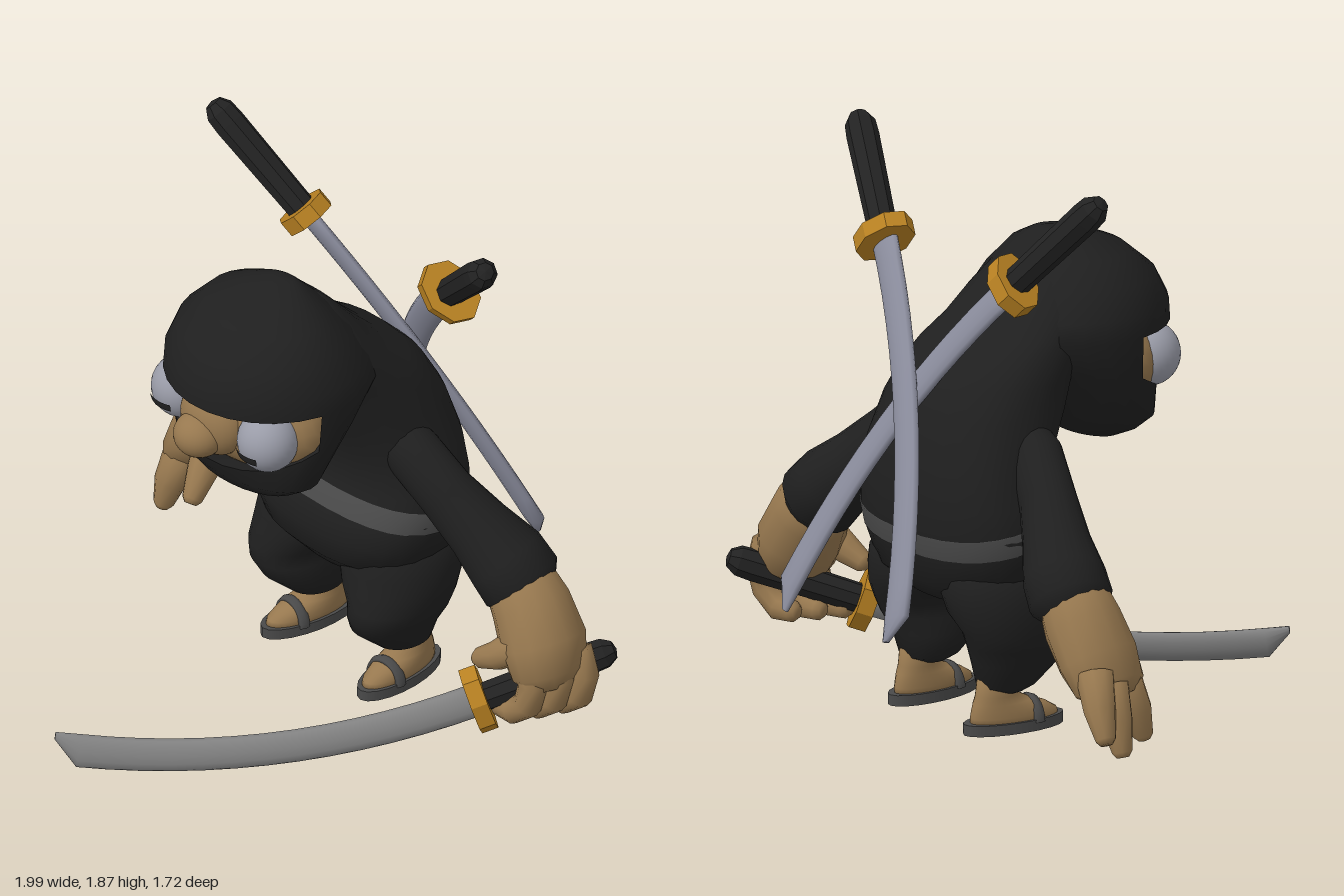
import * as THREE from 'three';

const mat = (color, extra = {}) => new THREE.MeshStandardMaterial({ color, ...extra });
const SUIT = mat(0x1f1f1f, { side: THREE.DoubleSide });
const SKIN = mat(0x97784f);
const BELT = mat(0x4a4a4a);
const EYE = mat(0x9a9ca8);
const GOLD = mat(0xb88122, { flatShading: true });
const GRIP = mat(0x222222, { flatShading: true });
const V = (x, y, z) => new THREE.Vector3(x, y, z);
const CENTRE = 0.025;

function add(parent, name, geo, material, pos = [0, 0, 0], scale = [1, 1, 1]) {
  const m = new THREE.Mesh(geo, material);
  m.name = name;
  m.position.set(...pos);
  m.scale.set(...scale);
  parent.add(m);
  return m;
}

// Skins a list of rings of points; skip(row, column) leaves holes
function loft(rings, { caps = true, skip = () => false } = {}) {
  const n = rings[0].length, pts = rings.flat(), idx = [];
  for (let k = 0; k < rings.length - 1; k++) {
    for (let i = 0; i < n; i++) {
      if (skip(k, i)) continue;
      const a = k * n + i, b = k * n + (i + 1) % n, c = a + n, d = b + n;
      idx.push(a, c, b, b, c, d);
    }
  }
  if (caps) {
    const mid = r => r.reduce((s, p) => s.add(p), V(0, 0, 0)).divideScalar(n);
    const last = (rings.length - 1) * n, c0 = pts.length;
    pts.push(mid(rings[0]), mid(rings[rings.length - 1]));
    for (let i = 0; i < n; i++) {
      const j = (i + 1) % n;
      idx.push(c0, i, j, c0 + 1, last + j, last + i);
    }
  }
  const g = new THREE.BufferGeometry().setFromPoints(pts);
  g.setIndex(idx);
  g.computeVertexNormals();
  return g;
}

// Level ring from [y, zBack, zFront, halfWidth]; e < 1 squares it off
const N = 28;
const pow = (v, e) => Math.sign(v) * Math.abs(v) ** e;
function row([y, zb, zf, hw], e = 1, x = 0, yAt = () => y) {
  return Array.from({ length: N }, (_, i) => {
    const a = i / N * Math.PI * 2, s = Math.sin(a);
    return V(x + hw * pow(Math.cos(a), e), yAt(s), (zb + zf) / 2 + (zf - zb) / 2 * pow(s, e));
  });
}

// Rounded limb through [x, y, z, thickness, depth] stations
function limb(stations, n = 14) {
  const p = stations.map(s => V(s[0], s[1], s[2]));
  const ring = (c, t, ra, rb) => {
    const a = V(0, 0, 1).cross(t).negate().normalize(), b = a.clone().cross(t);
    return Array.from({ length: n }, (_, i) => {
      const q = i / n * Math.PI * 2;
      return c.clone().addScaledVector(a, ra * Math.cos(q)).addScaledVector(b, rb * Math.sin(q));
    });
  };
  const tan = i => p[Math.min(i + 1, p.length - 1)].clone().sub(p[Math.max(i - 1, 0)]).normalize();
  const rings = stations.map((s, i) => ring(p[i], tan(i), s[3], s[4] ?? s[3]));
  const e = stations[stations.length - 1], t = tan(p.length - 1), r = e[3], d = e[4] ?? r;
  rings.push(ring(p[p.length - 1].clone().addScaledVector(t, Math.min(r, d) * 0.5), t, r * 0.6, d * 0.6));
  return loft(rings);
}

// Curved sword: guard at the origin, blade along +y, bulging to +x
function sword(name, guard, tip, bulge, bladeColor) {
  const g = new THREE.Group();
  g.name = name;
  const from = V(...guard), dir = V(...tip).sub(from), L = dir.length();
  const y = dir.normalize(), x = V(...bulge);
  x.addScaledVector(y, -x.dot(y)).normalize();
  const m = new THREE.Matrix4().makeBasis(x, y, x.clone().cross(y)).setPosition(from);
  m.decompose(g.position, g.quaternion, g.scale);
  const rings = [];
  for (let i = 0; i <= 14; i++) {
    const t = i < 14 ? i / 13 * 0.95 : 1, end = i === 14;
    const slope = 0.25 * (1 - 2 * t), w = end ? 0.012 : 0.054, th = end ? 0.01 : 0.024;
    const cx = 0.25 * L * t * (1 - t) - (end ? 0.042 : 0);
    rings.push(Array.from({ length: 12 }, (_, j) => {
      const u = Math.cos(j * Math.PI / 6), v = Math.sin(j * Math.PI / 6);
      return V(cx + u * w, L * t - u * w * slope, v * th);
    }));
  }
  add(g, 'blade', loft(rings), mat(bladeColor));
  const hilt = new THREE.Group();
  hilt.name = 'hilt';
  hilt.rotation.z = -0.245;
  g.add(hilt);
  add(hilt, 'guard', new THREE.CylinderGeometry(1, 1, 0.055, 8), GOLD, [0, 0, 0], [0.112, 1, 0.085]);
  const profile = [[0, -0.47], [0.03, -0.462], [0.05, -0.43], [0.053, -0.38], [0.048, 0]];
  add(hilt, 'grip', new THREE.LatheGeometry(profile.map(q => new THREE.Vector2(...q)), 8), GRIP);
  return g;
}

const TORSO = [
  [0.40, -0.40, -0.22, 0.08], [0.43, -0.48, -0.15, 0.2], [0.5, -0.55, -0.09, 0.34], [0.6, -0.575, -0.065, 0.39],
  [0.68, -0.59, -0.08, 0.40], [0.78, -0.59, -0.12, 0.385], [0.9, -0.58, -0.13, 0.355], [1.05, -0.54, -0.05, 0.32],
  [1.15, -0.49, 0, 0.3], [1.22, -0.42, 0.05, 0.285], [1.28, -0.325, 0.07, 0.27], [1.36, -0.24, 0.1, 0.25],
  [1.44, -0.165, 0.1, 0.2], [1.5, -0.1, 0.1, 0.14],
];
function torsoAt(y) {
  const k = TORSO.findIndex(r => r[0] >= y), a = TORSO[k - 1], b = TORSO[k];
  return a.map((v, i) => v + (b[i] - v) * (y - a[0]) / (b[0] - a[0]));
}

function buildBody(body) {
  // The squared-off trunk rounds out towards the neck
  add(body, 'torso', loft(TORSO.map(r => row(r, r[0] < 1.1 ? 0.82 : 0.9))), SUIT);
  // Belt hugs the torso and dips towards the back
  const belt = [[0.0, 0.99], [0.002, 1.01], [0.072, 1.01], [0.074, 0.99]].map(([h, k]) =>
    Array.from({ length: N }, (_, i) => {
      const y = 0.645 + 0.05 * Math.sin(i / N * Math.PI * 2) + h;
      const p = row(torsoAt(y), 0.82)[i];
      return V(p.x * k, y, (p.z + 0.34) * k - 0.34);
    }));
  add(body, 'belt', loft(belt, { caps: false }), BELT);

  for (const s of [-1, 1]) {
    const side = s > 0 ? 'left' : 'right';
    const leg = [
      [0.14, -0.38, -0.27, 0.06, 0.21], [0.16, -0.42, -0.22, 0.085, 0.21], [0.24, -0.44, -0.13, 0.12, 0.215],
      [0.30, -0.47, -0.1, 0.13, 0.235], [0.35, -0.49, -0.1, 0.138, 0.24], [0.41, -0.52, -0.11, 0.168, 0.215],
      [0.47, -0.53, -0.12, 0.18, 0.2], [0.53, -0.53, -0.13, 0.17, 0.195], [0.6, -0.5, -0.16, 0.14, 0.18],
    ].map(r => row(r, 0.95, s * r[4]));
    add(body, side + 'Leg', loft(leg), SUIT);

    // Sandalled foot, turned slightly outwards
    const foot = new THREE.Group();
    foot.name = side + 'Foot';
    foot.position.set(s * 0.22, 0, -0.3);
    foot.rotation.y = s * 0.1;
    body.add(foot);
    add(foot, 'sole', new THREE.CylinderGeometry(1, 1, 0.036, 20), BELT, [0, 0.026, 0], [0.073, 1, 0.18]);
    add(foot, 'footAndAnkle', loft([
      [0.03, -0.155, 0.165, 0.062], [0.06, -0.155, 0.155, 0.064], [0.085, -0.15, 0.115, 0.061],
      [0.105, -0.145, 0.06, 0.057], [0.13, -0.135, 0.01, 0.052], [0.2, -0.125, -0.01, 0.05],
    ].map(r => row(r))), SKIN);
    const strap = add(foot, 'strap', new THREE.TorusGeometry(0.06, 0.013, 6, 14, Math.PI), BELT, [0, 0.035, 0.06]);
    strap.scale.set(1.05, 1.1, 1.6);

    add(body, side + 'Sleeve', limb([[0.2, 1.0, -0.27, 0.07, 0.08], [0.31, 0.93, -0.28, 0.1, 0.09],
      [0.43, 0.82, -0.315, 0.105, 0.09], [0.54, 0.715, -0.36, 0.112, 0.11], [0.63, 0.63, -0.395, 0.13, 0.136],
      [0.69, 0.565, -0.41, 0.134, 0.138]].map(q => [s * q[0], ...q.slice(1)]), 18), SUIT);
  }
}

function buildHead(head) {
  // Hood: rows from chin to crown, open at the face between lip and brow
  const lipY = s => 1.02 + 0.13 * (1 - Math.max(0, s));
  const lip = [1.02, -0.17, 0.325, 0.335], brow = [1.26, -0.29, 0.395, 0.345];
  const rings = [
    row([0.868, 0.1, 0.18, 0.07]), row([0.885, 0.06, 0.225, 0.15]), row([0.92, 0.025, 0.27, 0.23]),
    row([0.97, -0.015, 0.305, 0.3]), row(lip, 1, 0, lipY), row(brow),
    row([1.33, -0.255, 0.39, 0.335]), row([1.42, -0.18, 0.345, 0.295]), row([1.5, -0.1, 0.25, 0.22]),
    row([1.55, -0.05, 0.13, 0.11]), row([1.568, -0.03, 0.04, 0.04]),
  ];
  const skip = (k, i) => k === 4 && Math.sin((i + 0.5) / N * Math.PI * 2) > 0.25;
  add(head, 'hood', loft(rings, { skip }), SUIT);
  const open = { caps: false };
  add(head, 'browRim', loft([row([1.265, -0.22, 0.31, 0.28]), rings[5]], open), SUIT);
  add(head, 'chinRim', loft([rings[4], row([1, -0.03, 0.25, 0.27], 1, 0, s => lipY(s) - 0.01)], open), SUIT);

  const ball = new THREE.SphereGeometry(1, 28, 18);
  add(head, 'face', ball, SKIN, [0, 1.15, 0.135], [0.315, 0.19, 0.185]);
  add(head, 'noseBridge', ball, SKIN, [0, 1.16, 0.29], [0.13, 0.125, 0.09]);
  add(head, 'nose', ball, SKIN, [0, 1.125, 0.355], [0.085, 0.075, 0.083]);
  const pupil = new THREE.SphereGeometry(0.106, 12, 5, Math.PI / 2 - 0.48, 0.96, 1.7, 0.28);
  for (const s of [-1, 1]) {
    add(head, 'eye', ball, EYE, [s * 0.208, 1.158, 0.245], [0.1, 0.105, 0.1]);
    add(head, 'pupil', pupil, GRIP, [s * 0.208, 1.158, 0.245]);
  }
}

function buildHands(root) {
  // Open right hand with spread fingers
  const open = new THREE.Group();
  open.name = 'rightHand';
  root.add(open);
  add(open, 'palm', limb([[-0.64, 0.6, -0.4, 0.11, 0.11], [-0.715, 0.5, -0.4, 0.125, 0.13],
    [-0.785, 0.4, -0.39, 0.112, 0.14], [-0.84, 0.32, -0.385, 0.08, 0.13]]), SKIN);
  for (const [a, b, c] of [
    [[-0.85, 0.37, -0.45], [-0.92, 0.27, -0.48], [-0.965, 0.19, -0.49]],
    [[-0.86, 0.33, -0.4], [-0.915, 0.22, -0.41], [-0.945, 0.13, -0.41]],
    [[-0.82, 0.33, -0.32], [-0.84, 0.22, -0.28], [-0.85, 0.14, -0.26]],
    [[-0.7, 0.45, -0.35], [-0.66, 0.36, -0.26], [-0.643, 0.285, -0.2]],
  ]) add(open, 'finger', limb([[...a, 0.064], [...b, 0.053], [...c, 0.034]], 10), SKIN);

  // Left fist closed round the grip
  const fist = new THREE.Group();
  fist.name = 'leftHand';
  root.add(fist);
  add(fist, 'palm', limb([[0.69, 0.6, -0.4, 0.11, 0.11], [0.77, 0.51, -0.4, 0.13, 0.13],
    [0.84, 0.41, -0.39, 0.135, 0.145], [0.875, 0.32, -0.385, 0.105, 0.135]]), SKIN);
  for (const z of [-0.47, -0.39, -0.31]) {
    const dx = -0.4 * (z + 0.39);
    add(fist, 'finger', limb([[0.88, 0.38, z, 0.052], [0.915, 0.3, z, 0.05], [0.9, 0.22, z + 0.01, 0.048],
      [0.84, 0.17, z + 0.02, 0.044], [0.78, 0.17, z + 0.03, 0.036]].map(q => [q[0] + dx, ...q.slice(1)]), 10), SKIN);
  }
  add(fist, 'thumb', limb([[0.82, 0.42, -0.31, 0.06], [0.75, 0.36, -0.27, 0.048], [0.69, 0.33, -0.25, 0.034]], 10), SKIN);
}

export function createModel() {
  const root = new THREE.Group();
  root.name = 'maskedSwordsman';
  const body = new THREE.Group(), head = new THREE.Group();
  body.name = 'body';
  head.name = 'head';
  body.position.x = head.position.x = CENTRE;
  root.add(body, head);
  buildBody(body);
  buildHead(head);
  buildHands(root);
  root.add(
    sword('heldSword', [0.715, 0.195, -0.225], [-0.1, 0.07, 0.85], [0.4, -1, 0], 0x838383),
    sword('rightBackSword', [-0.27, 1.51, -0.355], [0.345, 0.385, -0.825], [0.19, 0.11, 0.06], 0x8a8c9c),
    sword('leftBackSword', [0.385, 1.52, -0.39], [-0.31, 0.43, -0.85], [-0.19, 0.11, 0.04], 0x8a8c9c),
  );
  return root;
}
